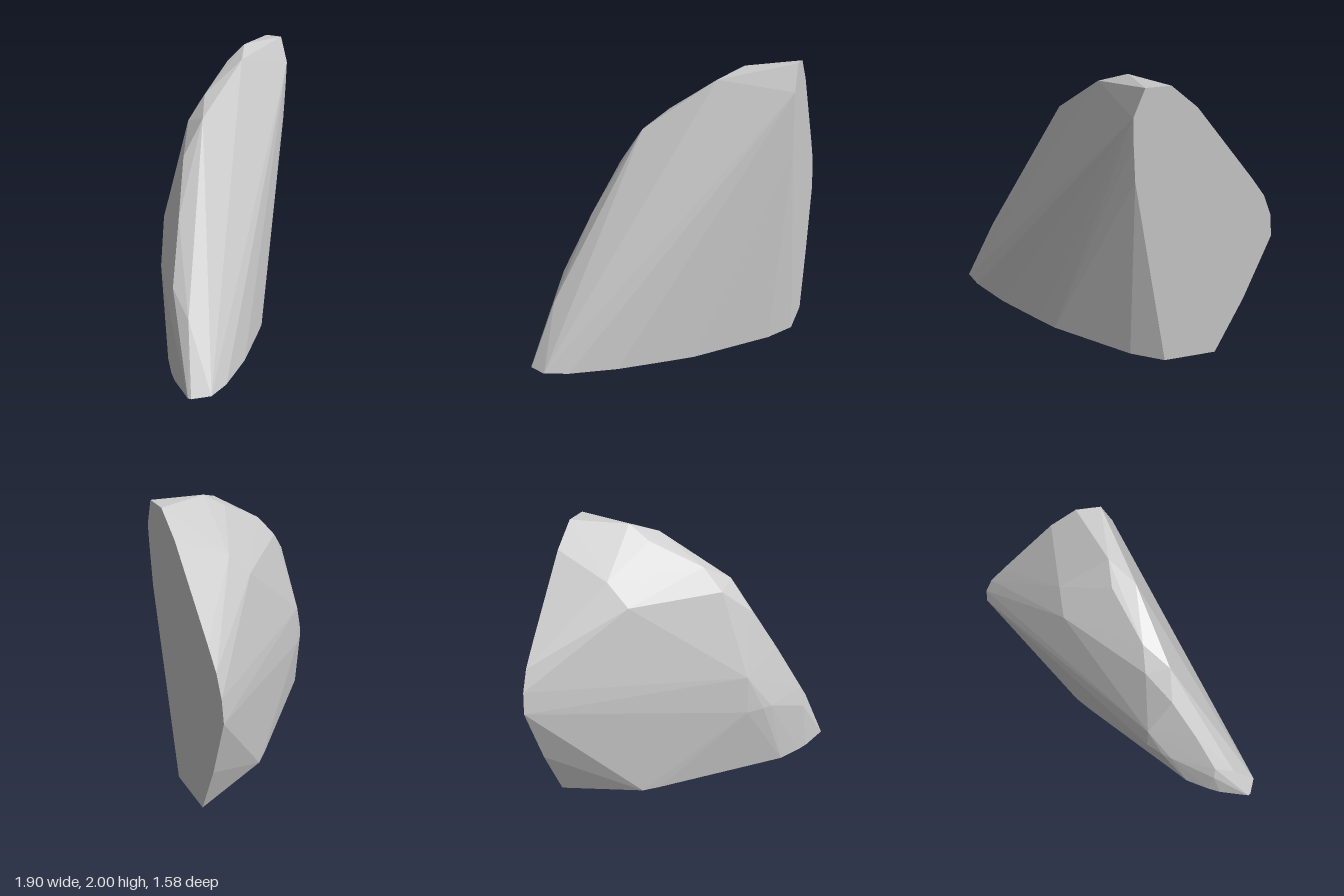
import * as THREE from 'three';
import { ConvexGeometry } from 'three/addons/geometries/ConvexGeometry.js';

const v = (x, y, z) => new THREE.Vector3(x, y, z);

export function createModel() {
  const group = new THREE.Group();
  group.name = 'rock';
  const stone = new THREE.MeshStandardMaterial({ color: 0xcccccc });
  stone.name = 'pale grey stone';

  // Flat back cut, as [x, y] outline
  const back = [
    [-0.61, 0], [-0.79, 0.42], [-0.95, 0.89], [-0.93, 1.05], [-0.87, 1.2], [-0.77, 1.34],
    [-0.38, 1.85], [-0.21, 2], [-0.05, 2], [0.02, 1.82], [0.015, 1.66], [0, 1.4], [-0.24, 0],
  ].map(([x, y]) => v(x, y, -0.79));

  // Flat underside, as [x, z] outline
  const base = [
    [-0.39, -0.22], [-0.3, -0.12], [0.41, 0.6], [0.57, 0.69], [0.66, 0.73], [0.88, 0.79], [0.9, 0.78],
    [0.95, 0.66], [0.9, 0.5], [0.74, 0.21], [0.51, -0.11], [0.42, -0.23], [-0.03, -0.66],
  ].map(([x, z]) => v(x, 0, z));

  // Sloping ridge from the peak down to the front tip
  const ridge = [
    [-0.05, 1.97, -0.43], [0.1, 1.89, -0.28], [0.1, 1.68, 0.05], [0.26, 1.56, 0.19],
    [0.26, 1.33, 0.35], [0.42, 0.98, 0.51], [0.57, 0.59, 0.67], [0.73, 0.43, 0.67],
  ].map((p) => v(...p));

  // Broad front face
  const face = [
    [-0.38, 1.68, -0.43], [-0.38, 1.52, -0.28], [-0.05, 1.87, -0.28], [0.1, 1.52, 0.19],
    [0.1, 0.88, 0.4], [0.1, 0.58, 0.41], [0.2, 0.58, 0.5], [0.26, 0.58, 0.54], [0.57, 0.43, 0.7],
  ].map((p) => v(...p));

  const boulder = new THREE.Mesh(new ConvexGeometry([...back, ...base, ...ridge, ...face]), stone);
  boulder.name = 'boulder';
  group.add(boulder);
  return group;
}
